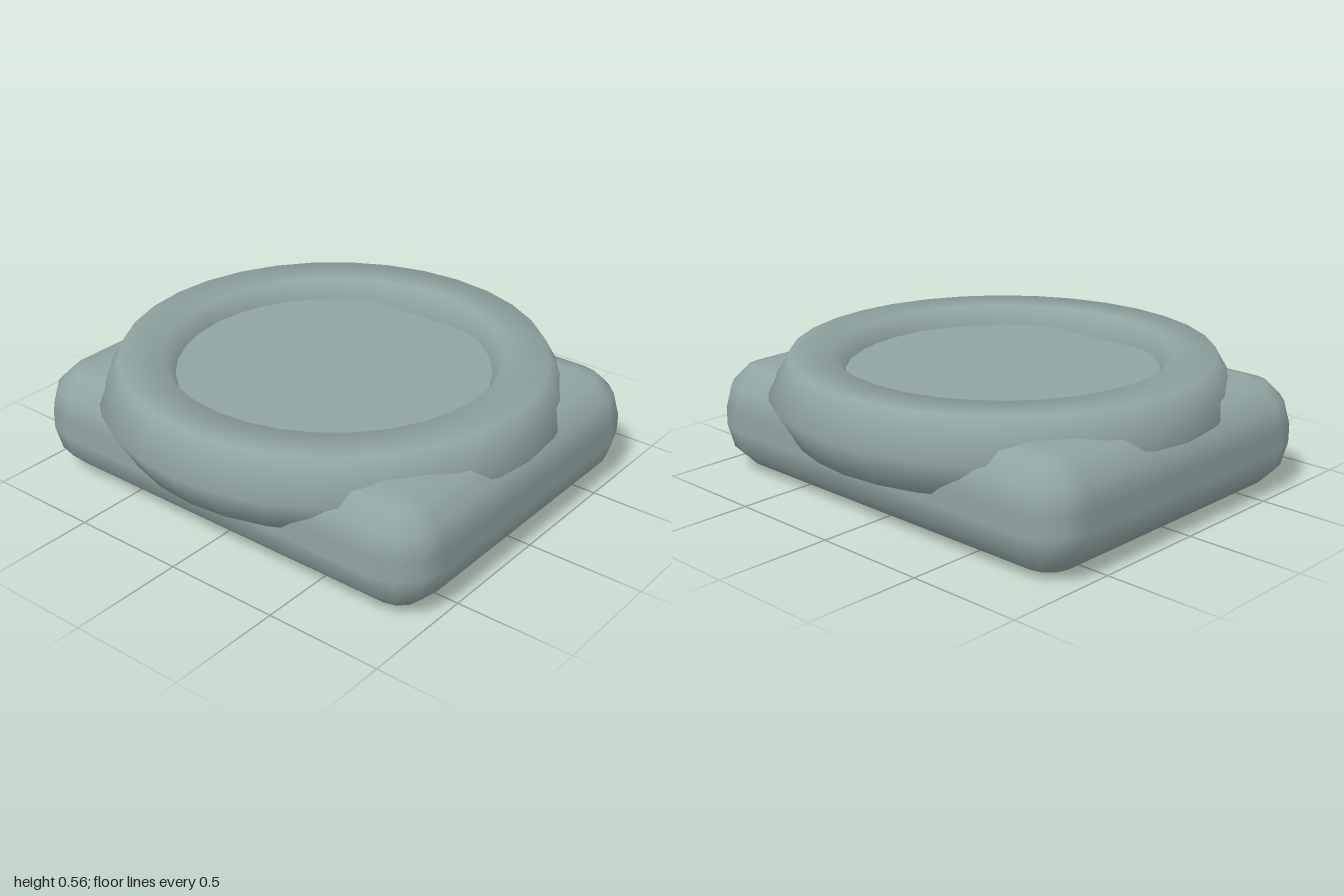
import * as THREE from 'three';

// Box with rounded edges and corners: stacked rings of corner arcs, smooth normals.
function roundedBlock(w, h, d, r, steps) {
  const pos = [], nor = [], idx = [];
  const perRing = 4 * (steps + 1);
  const arc = Math.PI / 2 / steps;
  const levels = [];
  for (let i = 0; i <= steps; i++) levels.push([-Math.PI / 2 + i * arc, r]);
  for (let i = 0; i <= steps; i++) levels.push([i * arc, h - r]);

  for (const [lat, cy] of levels) {
    for (let c = 0; c < 4; c++) {
      const sx = c === 0 || c === 3 ? 1 : -1;
      const sz = c < 2 ? 1 : -1;
      for (let s = 0; s <= steps; s++) {
        const a = c * Math.PI / 2 + s * arc;
        const n = [Math.cos(lat) * Math.cos(a), Math.sin(lat), Math.cos(lat) * Math.sin(a)];
        pos.push(sx * (w / 2 - r) + r * n[0], cy + r * n[1], sz * (d / 2 - r) + r * n[2]);
        nor.push(...n);
      }
    }
  }
  for (let l = 0; l < levels.length - 1; l++) {
    for (let k = 0; k < perRing; k++) {
      const a = l * perRing + k, b = l * perRing + (k + 1) % perRing;
      idx.push(a, a + perRing, b, b, a + perRing, b + perRing);
    }
  }
  // Flat bottom and top
  const q = steps + 1, t = (levels.length - 1) * perRing;
  idx.push(0, q, 2 * q, 0, 2 * q, 3 * q);
  idx.push(t, t + 2 * q, t + q, t, t + 3 * q, t + 2 * q);

  const geo = new THREE.BufferGeometry();
  geo.setAttribute('position', new THREE.Float32BufferAttribute(pos, 3));
  geo.setAttribute('normal', new THREE.Float32BufferAttribute(nor, 3));
  geo.setIndex(idx);
  return geo;
}

export function createModel() {
  const model = new THREE.Group();
  const stone = new THREE.MeshStandardMaterial({ color: 0x90a4a2 });
  stone.name = 'greyGreen';

  // Rounded rectangular base
  const base = new THREE.Mesh(roundedBlock(2, 0.48, 1.6, 0.2, 3), stone);
  base.name = 'base';
  model.add(base);

  // Six-sided rim ring sunk into the base
  const rim = new THREE.Mesh(new THREE.TorusGeometry(0.8, 0.185, 6, 32), stone);
  rim.name = 'rim';
  rim.rotation.x = -Math.PI / 2;
  rim.position.y = 0.4;
  model.add(rim);

  return model;
}
